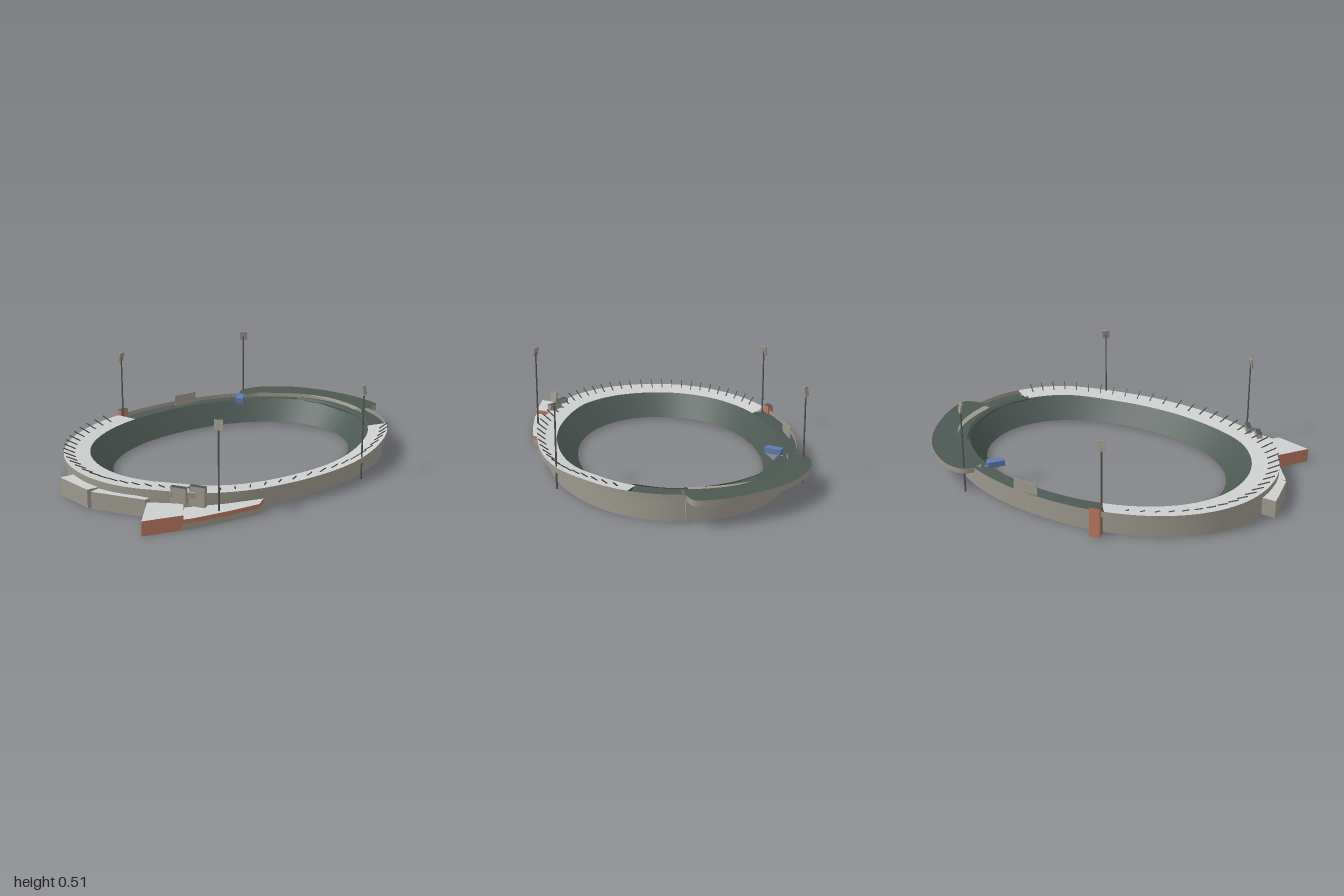
import * as THREE from 'three';

const mat = (name, color) => {
  const m = new THREE.MeshStandardMaterial({ color });
  m.name = name;
  m.side = THREE.DoubleSide;
  return m;
};
const V = (x, y, z) => new THREE.Vector3(x, y, z);
const rad = THREE.MathUtils.degToRad;

export function createModel() {
  const model = new THREE.Group();
  model.name = 'stadium';
  const concrete = mat('concrete', 0x9c998e);
  const roofGrey = mat('roof grey', 0xcdcfcf);
  const seats = mat('dark seating', 0x4d5853);
  const brick = mat('brick', 0xbd7863);
  const blue = mat('blue', 0x5e7cae);
  const steel = mat('dark steel', 0x555752);

  const add = (name, geo, material, parent = model) => {
    const m = new THREE.Mesh(geo, material);
    m.name = name;
    parent.add(m);
    return m;
  };

  // Rounded oval, angle in degrees, 90 = front
  const oval = (cx, cz, a, b, n) => (deg, y = 0) => {
    const c = Math.cos(rad(deg)), s = Math.sin(rad(deg));
    return V(cx + a * Math.sign(c) * Math.abs(c) ** (2 / n), y, cz + b * Math.sign(s) * Math.abs(s) ** (2 / n));
  };
  const field = oval(0.02, -0.027, 0.688, 0.487, 2.1);
  const bowlTop = oval(0.005, -0.015, 0.8, 0.585, 2.1);
  const wallLine = oval(-0.012, -0.012, 0.917, 0.637, 2.1);
  const innerWall = oval(-0.012, -0.012, 0.912, 0.632, 2.1);
  const roofEdge = oval(-0.015, -0.008, 0.925, 0.683, 2.1);
  // The rim sinks gently along the front
  const rim = (deg) => 0.138 - 0.024 * THREE.MathUtils.smoothstep(Math.sin(rad(deg - 4)), 0.65, 1);

  // Smooth strip between two curves given over 0..1
  function strip(name, material, n, f, g) {
    const pos = [], idx = [];
    for (let i = 0; i <= n; i++) {
      const p = f(i / n), q = g(i / n);
      pos.push(p.x, p.y, p.z, q.x, q.y, q.z);
      if (i < n) idx.push(2 * i, 2 * i + 1, 2 * i + 2, 2 * i + 1, 2 * i + 3, 2 * i + 2);
    }
    const geo = new THREE.BufferGeometry();
    geo.setAttribute('position', new THREE.Float32BufferAttribute(pos, 3));
    geo.setIndex(idx);
    geo.computeVertexNormals();
    return add(name, geo, material);
  }
  const arc = (from, to, f) => (t) => f(from + (to - from) * t);

  // Seating bowl and outer wall
  strip('seatingBowl', seats, 120, arc(0, 360, (d) => field(d, 0.01)), arc(0, 360, (d) => bowlTop(d, rim(d) - 0.012)));
  strip('outerWall', concrete, 120, arc(0, 360, (d) => wallLine(d, 0)), arc(0, 360, (d) => wallLine(d, rim(d) - 0.028)));
  // Linings inside the wall: brick behind the entrance, dark at the sides
  const lining = (name, material, from, to, y0, y1) =>
    strip(name, material, 30, arc(from, to, (d) => innerWall(d, y0)), arc(from, to, (d) => innerWall(d, y1)));
  lining('brickLining', brick, 112, 142, 0.03, 0.07);
  lining('darkLining', seats, 0, 75, 0.002, 0.106);
  lining('darkLining', seats, 185, 255, 0.002, 0.106);

  // Rim: light roof around the left and front, sunken dark upper deck on the rest
  const ring = (name, top, from, to, n, drop) => {
    const inner = arc(from, to, (d) => bowlTop(d, rim(d) - 0.012));
    const outer = arc(from, to, (d) => roofEdge(d, rim(d) - drop));
    const high = arc(from, to, (d) => roofEdge(d, rim(d)));
    const low = arc(from, to, (d) => roofEdge(d, rim(d) - 0.03));
    const wall = arc(from, to, (d) => wallLine(d, rim(d) - 0.03));
    strip(name, top, n, inner, outer);
    strip(name + 'Edge', concrete, n, high, low);
    strip(name + 'Soffit', concrete, n, low, wall);
  };
  ring('roof', roofGrey, 27, 250, 90, 0);
  ring('upperDeck', seats, 250, 387, 60, 0.022);

  // Wide canopy on the right-hand end
  const curve = (pts) => {
    const c = new THREE.CatmullRomCurve3(pts.map(([x, z]) => V(x, 0, z)));
    return (y) => (t) => c.getPoint(t).setY(y);
  };
  const cOut = curve([[0.46, -0.605], [0.5, -0.645], [0.565, -0.652], [0.645, -0.63], [0.785, -0.535],
    [0.89, -0.4], [0.97, -0.21], [1, -0.05], [0.99, 0.03], [0.93, 0.055]]);
  const cIn = curve([[0.45, -0.56], [0.49, -0.555], [0.54, -0.54], [0.6, -0.5], [0.7, -0.42],
    [0.78, -0.33], [0.84, -0.21], [0.86, -0.08], [0.86, 0], [0.85, 0.06]]);
  strip('canopyTop', seats, 48, cOut(0.14), cIn(0.142));
  strip('canopyEdge', concrete, 48, cOut(0.14), cOut(0.111));
  strip('canopyUnderside', seats, 48, cOut(0.111), cIn(0.111));
  strip('canopyInnerFace', concrete, 48, cIn(0.142), cIn(0.111));
  const gOut = curve([[0.78, -0.33], [0.84, -0.21], [0.86, -0.08], [0.855, 0.03]]);
  const gIn = curve([[0.78, -0.33], [0.815, -0.21], [0.825, -0.08], [0.82, 0.03]]);
  strip('canopyWalkway', concrete, 20, gOut(0.142), gIn(0.139));
  const lipOut = curve([[0.7, -0.35], [0.78, -0.2], [0.815, -0.03], [0.8, 0.13], [0.72, 0.28]]);
  const lipIn = curve([[0.69, -0.34], [0.765, -0.2], [0.795, -0.03], [0.78, 0.13], [0.71, 0.27]]);
  strip('upperTierLip', seats, 30, lipOut(0.135), lipIn(0.125));
  strip('upperTierFace', seats, 30, lipIn(0.125), lipIn(0.105));

  // Thin fins leaning outward along the roof
  for (let i = 0; i < 42; i++) {
    const d = 33 + i * 5.1;
    const tip = roofEdge(d, rim(d) + 0.028);
    const foot = roofEdge(d, rim(d) - 0.003).lerp(bowlTop(d, rim(d) - 0.008), 0.42);
    const fin = add('roofFin', new THREE.BoxGeometry(0.005, 0.005, foot.distanceTo(tip)), steel);
    fin.position.copy(foot).lerp(tip, 0.5);
    fin.lookAt(tip);
  }

  // Floodlight towers facing the field
  for (const [x, z] of [[-0.525, 0.64], [0.382, 0.61], [-0.325, -0.635], [0.505, -0.632]]) {
    const tower = new THREE.Group();
    tower.name = 'floodlightTower';
    tower.position.set(x, 0, z);
    model.add(tower);
    add('pole', new THREE.CylinderGeometry(0.004, 0.005, 0.48, 8), steel, tower).position.y = 0.24;
    const head = add('lampHead', new THREE.BoxGeometry(0.042, 0.05, 0.008), concrete, tower);
    head.position.y = 0.482;
    head.rotation.order = 'YXZ';
    head.rotation.set(0.2, Math.atan2(-x, -z), 0);
  }

  // Open-bottomed block with plan outline [x, z] and a cap
  function slab(name, pts, y0, y1, side, cap = side) {
    const n = pts.length;
    pts.forEach(([x, z], i) => {
      const [x2, z2] = pts[(i + 1) % n];
      const edge = (y) => (t) => V(x + (x2 - x) * t, y, z + (z2 - z) * t);
      strip(name + 'Side', side, 1, edge(y0), edge(y1));
    });
    const top = new THREE.ShapeGeometry(new THREE.Shape(pts.map(([x, z]) => new THREE.Vector2(x, -z))));
    add(name + 'Top', top.rotateX(-Math.PI / 2).translate(0, y1, 0), cap);
  }
  // Entrance plaza at the front corner
  slab('plazaHigh', [[-0.78, 0.405], [-0.915, 0.585], [-0.72, 0.635], [-0.645, 0.52]], 0, 0.075, brick, roofGrey);
  const low = [[-0.73, 0.633], [-0.655, 0.65], [-0.48, 0.672], [-0.32, 0.684], [-0.265, 0.64], [-0.45, 0.59], [-0.64, 0.515]];
  slab('plazaBase', low, 0, 0.031, concrete);
  slab('plazaBand', low, 0.031, 0.053, brick, roofGrey);
  // Side blocks
  slab('sideBlock', [[-1, -0.07], [-0.92, -0.07], [-0.9, 0.15], [-0.965, 0.15]], 0, 0.096, concrete, roofGrey);
  slab('sideTerrace', [[-0.955, 0.17], [-0.9, 0.15], [-0.76, 0.4], [-0.79, 0.405]], 0, 0.09, concrete, roofGrey);
  // Buttress under the canopy's front end
  slab('canopyButtress', [[0.87, 0.028], [0.915, 0.028], [0.915, 0.055], [0.87, 0.055]], 0, 0.111, concrete);

  // Stair towers and brick tower, turned rectangles with dark caps
  function turned(name, x, z, w, d, y0, y1, turn, side) {
    const c = Math.cos(turn), s = Math.sin(turn);
    const pts = [[-1, -1], [1, -1], [1, 1], [-1, 1]].map(([i, j]) => {
      const u = i * w / 2, v = j * d / 2;
      return [x + u * c + v * s, z - u * s + v * c];
    });
    slab(name, pts, y0, y1, side, seats);
  }
  turned('stairTower', -0.656, 0.494, 0.028, 0.08, 0.075, 0.155, 0.6, concrete);
  turned('stairTower', -0.576, 0.538, 0.028, 0.08, 0.053, 0.155, 0.6, concrete);
  turned('brickTower', -0.308, -0.667, 0.054, 0.03, 0, 0.162, 0.2, brick);

  // Scoreboard at the back and press box
  add('scoreboard', new THREE.BoxGeometry(0.14, 0.073, 0.004), concrete).position.set(0.105, 0.147, -0.657);
  const press = add('pressBox', new THREE.BoxGeometry(0.042, 0.03, 0.092), blue);
  press.position.set(0.394, 0.141, -0.507);
  press.rotation.y = -0.7;

  // Triangular support below the press box
  const tri = new THREE.Shape([new THREE.Vector2(0, 0.126), new THREE.Vector2(0.1, 0.126), new THREE.Vector2(0.1, 0.06)]);
  const support = add('pressBoxSupport', new THREE.ExtrudeGeometry(tri, { depth: 0.01, bevelEnabled: false }), concrete);
  support.position.set(0.37, 0, -0.47);
  support.rotation.y = 0.87;
  return model;
}
